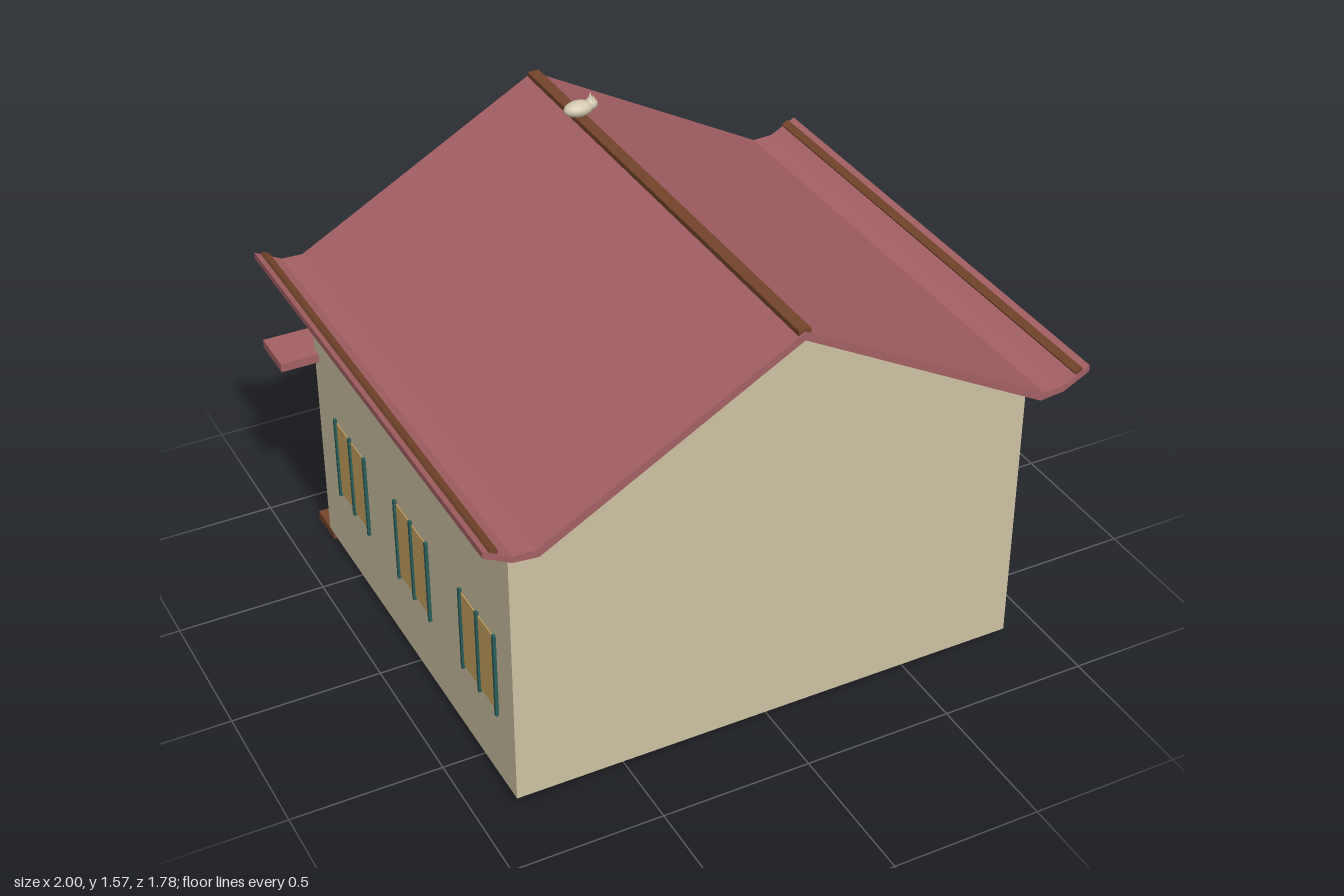
import * as THREE from 'three';

const mat = (name, color) => {
  const m = new THREE.MeshStandardMaterial({ color });
  m.name = name;
  return m;
};

export function createModel() {
  const plaster = mat('plaster', 0xcdc2a3);
  const tile = mat('roofTile', 0xa56165);
  const wood = mat('wood', 0x73442b);
  const darkWood = mat('darkWood', 0x613826);
  const teal = mat('teal', 0x2b5d59);
  const gold = mat('gold', 0xc8a45f);
  const cream = mat('cream', 0xd3c9b0);

  const model = new THREE.Group();
  model.name = 'house';

  const add = (name, geo, material, x = 0, y = 0, z = 0, parent = model) => {
    const mesh = new THREE.Mesh(geo, material);
    mesh.name = name;
    mesh.position.set(x, y, z);
    parent.add(mesh);
    return mesh;
  };
  // Box given by its minimum and maximum on each axis
  const box = (name, material, x0, x1, y0, y1, z0, z1, parent = model) =>
    add(name, new THREE.BoxGeometry(x1 - x0, y1 - y0, z1 - z0), material,
      (x0 + x1) / 2, (y0 + y1) / 2, (z0 + z1) / 2, parent);
  const shape = (pts) => new THREE.Shape(pts.map(([x, y]) => new THREE.Vector2(x, y)));
  const slab = (name, material, pts, z0, z1) => add(name,
    new THREE.ExtrudeGeometry(shape(pts), { depth: z1 - z0, bevelEnabled: false }),
    material, 0, 0, z0);
  const ball = (name, material, r, sx, sy, sz, x, y, z, parent = model) => {
    const m = add(name, new THREE.SphereGeometry(r, 20, 14), material, x, y, z, parent);
    m.scale.set(sx, sy, sz);
    return m;
  };

  // Hollow walls, open underneath, with a doorway in the entrance wall
  const W = 0.87, D = 0.76, T = 0.03, wallTop = 1.03;
  box('plainWall', plaster, -W, W, 0.03, wallTop, D - T, D);
  slab('entranceWall', plaster, [
    [-W, 0.03], [-0.2, 0.03], [-0.2, 0.57], [0.2, 0.57], [0.2, 0.03],
    [W, 0.03], [W, wallTop], [-W, wallTop],
  ], -D, -D + T);
  for (const s of [-1, 1]) {
    const x = s * (W - T / 2);
    box('sideWall', plaster, x - T / 2, x + T / 2, 0.03, wallTop, -D + T, D - T);
    const z = s * (D - T / 2);
    slab('gable', plaster, [[-0.83, wallTop], [0.83, wallTop], [0, 1.49]], z - T / 2, z + T / 2);
  }

  // Roof with upturned eaves, drawn as one cross-section
  const half = [[0.84, 1.042], [0.91, 1.045], [1, 1.092], [1, 1.07], [0.912, 1.024], [0.83, 1.016]];
  const mirrored = half.map(([x, y]) => [-x, y]).reverse();
  slab('roof', tile, [[0, 1.505], ...half, [0, 1.478], ...mirrored], -0.89, 0.89);
  box('ridgeBeam', wood, -0.02, 0.02, 1.49, 1.511, -0.885, 0.885);
  for (const s of [-1, 1]) {
    const beam = add('eaveBeam', new THREE.BoxGeometry(0.027, 0.016, 1.775), wood, s * 0.966, 1.077, 0);
    beam.rotation.z = s * 0.48;
  }

  // Porch
  box('porchStep', wood, -W, W, 0, 0.03, -0.865, -D + T);
  box('porchRoof', tile, -1, 1, 0.728, 0.758, -0.89, -0.724);
  for (const s of [-1, 1]) {
    box('porchPost', wood, s * 0.8 - 0.014, s * 0.8 + 0.014, 0.03, 0.728, -0.838, -0.81);
    const planter = new THREE.Group();
    planter.name = 'offeringBox';
    model.add(planter);
    box('crate', darkWood, s * 0.77 - 0.06, s * 0.77 + 0.06, 0.03, 0.118, -0.866, -0.771, planter);
    for (const dx of [-0.037, 0, 0.037]) {
      ball('egg', cream, 0.025, 0.9, 1.25, 1, s * 0.77 + dx, 0.143, -0.818, planter);
    }

    // Hanging lantern
    const lx = s * 0.61;
    box('lantern', teal, lx - 0.018, lx + 0.018, 0.637, 0.712, -0.816, -0.78);
    box('lanternPane', gold, lx - 0.012, lx + 0.012, 0.65, 0.697, -0.819, -0.815);
    box('lanternHook', teal, lx - 0.005, lx + 0.005, 0.71, 0.73, -0.803, -0.793);
  }

  // Entrance windows: pane, bars and sill
  for (const s of [-1, 1]) {
    const win = new THREE.Group();
    win.name = 'entranceWindow';
    win.position.x = s * 0.515;
    model.add(win);
    box('pane', gold, -0.2, 0.2, 0.26, 0.57, -0.766, -0.757, win);
    for (const x of [-0.195, 0, 0.195])
      box('uprightBar', teal, x - 0.011, x + 0.011, 0.26, 0.582, -0.782, -0.757, win);
    for (const y of [0.272, 0.42, 0.562])
      box('crossBar', teal, -0.2, 0.2, y - 0.01, y + 0.01, -0.78, -0.757, win);
    box('sill', wood, -0.225, 0.225, 0.236, 0.26, -0.795, -0.757, win);
  }

  // Side windows
  for (const s of [-1, 1]) {
    for (const z of [0.522, 0.022, -0.478]) {
      const win = new THREE.Group();
      win.name = 'sideWindow';
      win.position.set(s * W, 0, z);
      model.add(win);
      box('pane', gold, -0.003, 0.003, 0.285, 0.565, -0.127, 0.127, win);
      for (const dz of [-0.123, 0, 0.123])
        box('uprightBar', teal, -0.01, 0.01, 0.272, 0.578, dz - 0.006, dz + 0.006, win);
    }
  }

  // Doorway frame, split curtain and blank board
  for (const s of [-1, 1]) {
    box('doorPost', wood, s * 0.21 - 0.018, s * 0.21 + 0.018, 0.03, 0.56, -0.787, -0.73);
    box('doorCurtain', teal, s * 0.1 - 0.093, s * 0.1 + 0.093, 0.485, 0.56, -0.787, -0.779);
  }
  box('doorLintel', wood, -0.235, 0.235, 0.555, 0.585, -0.793, -0.73);
  box('doorBoard', wood, -0.18, 0.18, 0.64, 0.685, -0.785, -0.757);

  // Round gable ornament
  ball('gableDisc', gold, 0.12, 1, 1, 0.1, 0, 1.108, -0.76);

  // Small animal resting on the ridge
  const pet = new THREE.Group();
  pet.name = 'ridgeAnimal';
  pet.position.set(0, 1.505, -0.543);
  model.add(pet);
  ball('body', cream, 0.05, 1, 0.52, 0.66, -0.002, 0.027, 0, pet);
  ball('head', cream, 0.021, 1, 1, 1, 0.043, 0.035, 0, pet);
  for (const s of [-1, 1])
    add('ear', new THREE.ConeGeometry(0.008, 0.022, 8), cream, 0.046, 0.058, s * 0.011, pet);

  return model;
}
